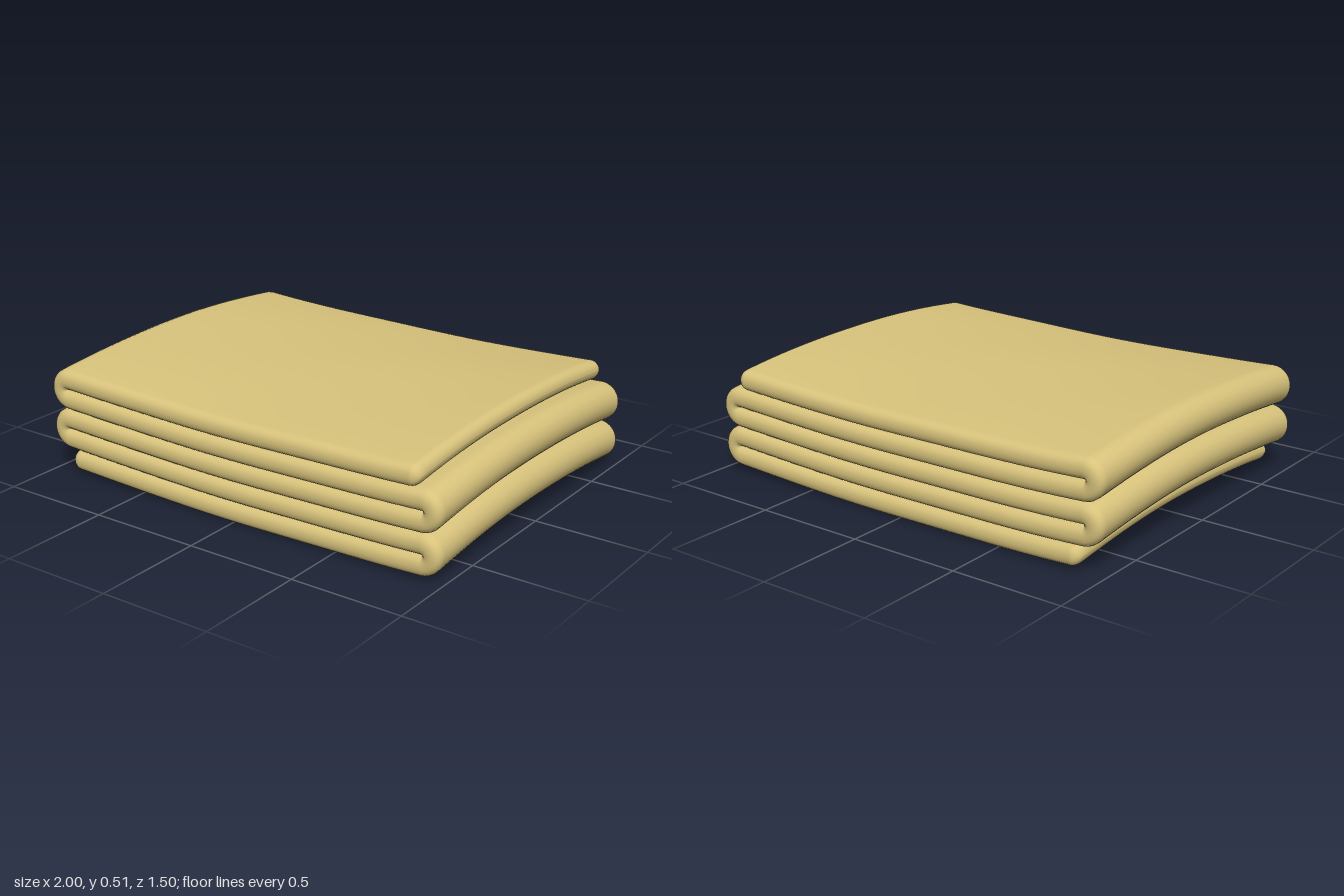
import * as THREE from 'three';

const LAYERS = 5, PITCH = 0.09, HALF = 0.0445, FOLD_X = 0.91, END_X = 0.9, HALF_Z = 0.75;

// Zigzag centre line: x, y, tangent, and thickness factor / side inset for the rounded free ends
function foldedPath() {
  const path = [];
  const capSteps = 7, layerSteps = 28, foldSteps = 14;
  for (let k = 0; k < LAYERS; k++) {
    const dir = k % 2 ? -1 : 1, y = PITCH * (k + 0.5);
    const from = k === 0 ? -END_X : -FOLD_X * dir;
    const to = k === LAYERS - 1 ? END_X : FOLD_X * dir;
    const add = (x, s = 1) => path.push({ x, y, tx: dir, ty: 0, s });
    const x0 = k === 0 ? from + HALF : from;
    const x1 = k === LAYERS - 1 ? to - HALF : to;
    if (k === 0) {
      for (let i = 0; i < capSteps; i++) {
        const a = (i / capSteps) * Math.PI / 2;
        add(x0 - HALF * Math.cos(a), Math.sin(a));
      }
    }
    for (let i = 0; i <= layerSteps; i++) add(x0 + (x1 - x0) * i / layerSteps);
    if (k === LAYERS - 1) {
      for (let i = 1; i <= capSteps; i++) {
        const a = (i / capSteps) * Math.PI / 2;
        add(x1 + HALF * Math.sin(a), Math.cos(a));
      }
    } else {
      // half-turn up to the next layer
      for (let i = 1; i < foldSteps; i++) {
        const a = -Math.PI / 2 + Math.PI * i / foldSteps;
        path.push({
          x: dir * (FOLD_X + PITCH / 2 * Math.cos(a)),
          y: PITCH * (k + 1) + PITCH / 2 * Math.sin(a),
          tx: -dir * Math.sin(a), ty: Math.cos(a), s: 1,
        });
      }
    }
  }
  return path;
}

// Flat cloth section with softly squared edges: [thickness, inset from edge, side]
function clothSection() {
  const ring = [], edge = 10, flat = 20, soft = 0.85;
  for (const side of [1, -1]) {
    for (let i = 0; i <= edge; i++) {
      const a = (i / edge) * Math.PI;
      const c = Math.cos(a), n = Math.sign(c) * Math.pow(Math.abs(c), soft);
      ring.push({ n: n * side, edge: Math.pow(Math.sin(a), soft), f: side });
    }
    for (let i = 1; i < flat; i++) ring.push({ n: -side, edge: 0, f: side * (1 - 2 * i / flat) });
  }
  return ring;
}

// Gentle sag across the stack plus faint cloth ripples
function drape(x, z) {
  return 0.04 + 0.022 * (x / 0.9) ** 2 - 0.045 * (z / HALF_Z) ** 2
    + 0.0018 * Math.sin(6 * x + 2 * z + 1) * Math.cos(5 * z - x);
}

function foldedClothGeometry() {
  const path = foldedPath(), ring = clothSection(), count = ring.length;
  const positions = [], index = [];
  path.forEach((p, i) => {
    const inset = HALF * (1 - p.s);
    for (const r of ring) {
      const off = r.n * HALF * p.s;
      const x = p.x - p.ty * off;
      const z = r.f * (HALF_Z - HALF - inset) + Math.sign(r.f) * r.edge * HALF;
      positions.push(x, p.y + p.tx * off + drape(x, z), z);
    }
    if (i === 0) return;
    for (let j = 0; j < count; j++) {
      const j2 = (j + 1) % count, a = (i - 1) * count, b = i * count;
      index.push(a + j, a + j2, b + j, a + j2, b + j2, b + j);
    }
  });
  const geometry = new THREE.BufferGeometry();
  geometry.setAttribute('position', new THREE.Float32BufferAttribute(positions, 3));
  geometry.setIndex(index);
  geometry.computeVertexNormals();
  return geometry;
}

export function createModel() {
  const group = new THREE.Group();
  group.name = 'foldedBlanket';
  const cloth = new THREE.Mesh(
    foldedClothGeometry(),
    new THREE.MeshStandardMaterial({ color: 0xd8c37c }),
  );
  cloth.name = 'foldedCloth';
  group.add(cloth);
  return group;
}
